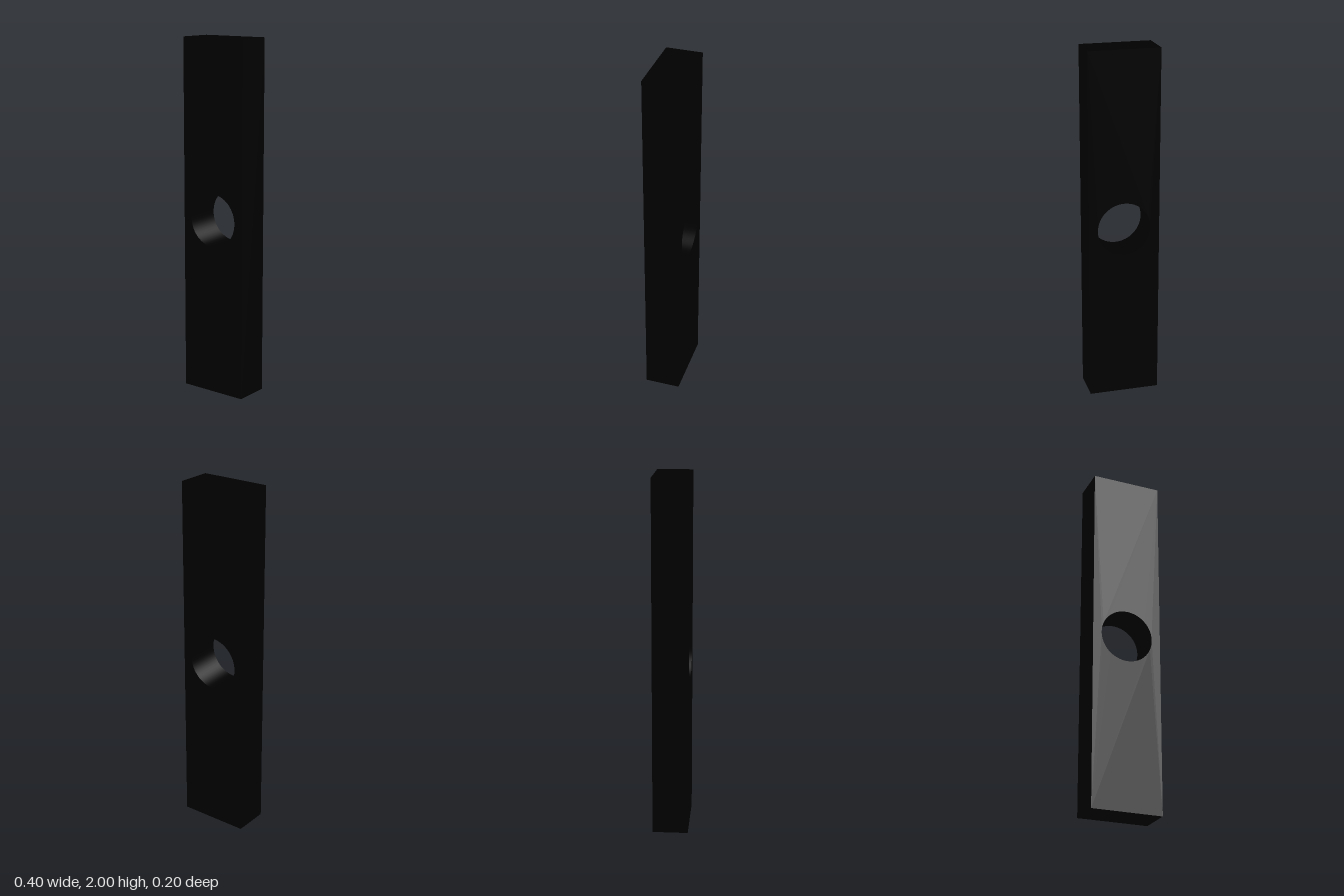
import * as THREE from 'three';
import { toCreasedNormals } from 'three/addons/utils/BufferGeometryUtils.js';

const WIDTH = 0.4, HEIGHT = 2, DEPTH = 0.2, HOLE_RADIUS = 0.15;

export function createModel() {
  const model = new THREE.Group();
  model.name = 'drilledBar';

  // Rectangular outline standing on the ground
  const outline = new THREE.Shape();
  outline.moveTo(-WIDTH / 2, 0);
  outline.lineTo(WIDTH / 2, 0);
  outline.lineTo(WIDTH / 2, HEIGHT);
  outline.lineTo(-WIDTH / 2, HEIGHT);
  outline.closePath();

  // Round through hole at mid height
  const hole = new THREE.Path();
  hole.absarc(0, HEIGHT / 2, HOLE_RADIUS, 0, Math.PI * 2, true);
  outline.holes.push(hole);

  const geometry = new THREE.ExtrudeGeometry(outline, {
    depth: DEPTH,
    bevelEnabled: false,
    curveSegments: 32,
  });
  geometry.translate(0, 0, -DEPTH / 2);

  // Smooth hole wall, sharp outer edges
  const bar = new THREE.Mesh(
    toCreasedNormals(geometry, Math.PI / 6),
    new THREE.MeshStandardMaterial({ color: 0x000000 }),
  );
  bar.name = 'bar';
  model.add(bar);
  return model;
}
